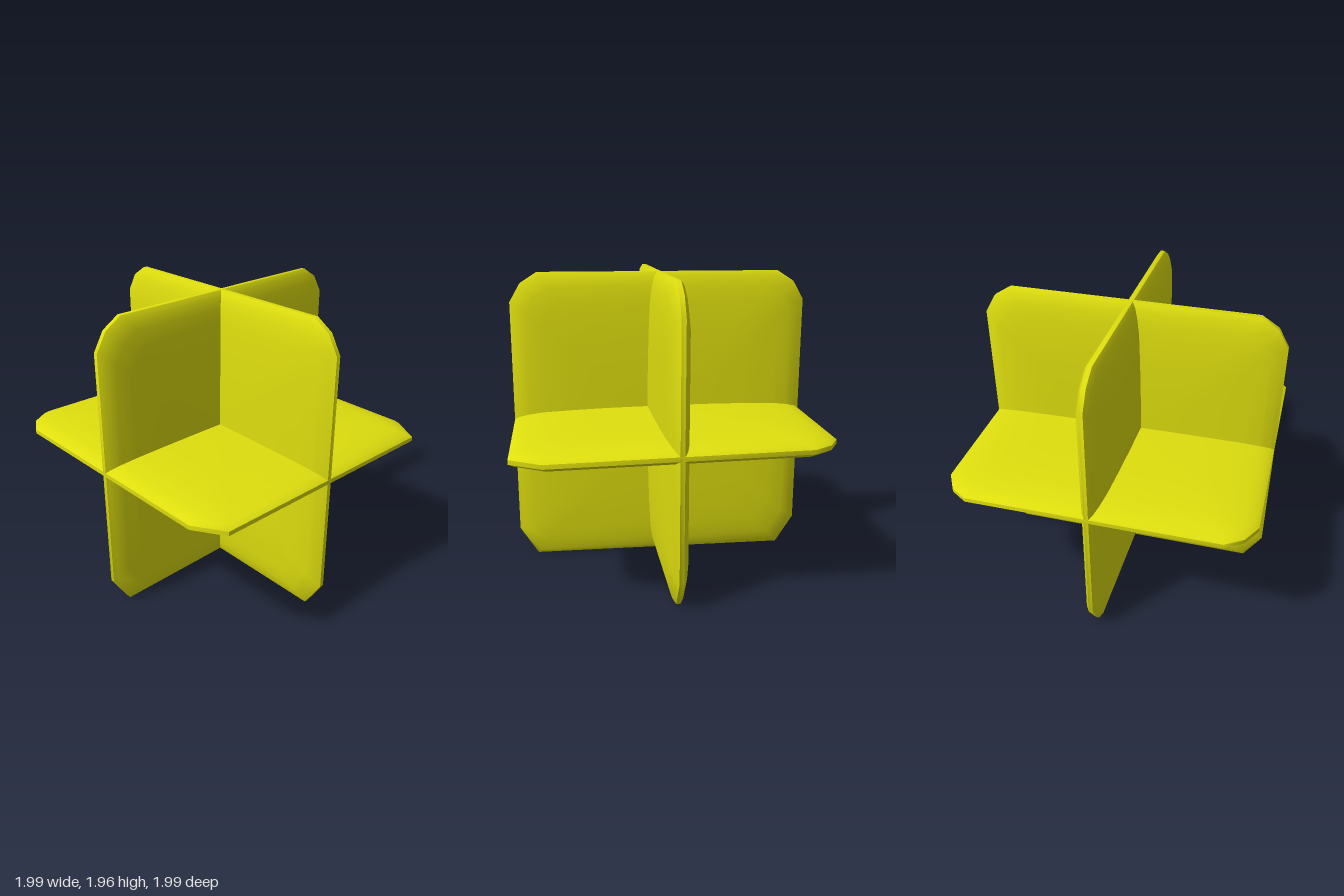
import * as THREE from 'three';
import { toCreasedNormals } from 'three/addons/utils/BufferGeometryUtils.js';

// Plate outline, counter-clockwise: rounded top corners, chamfered bottom corners
const HALF_OUTLINE = [[0.86, -0.98], [0.98, -0.79], [0.98, 0.79], [0.91, 0.91], [0.8, 0.98]];
const OUTLINE = [...HALF_OUTLINE, ...HALF_OUTLINE.map(([x, y]) => [-x, y]).reverse()];

// Outline scale and half thickness, from the rim to the thick middle
const PROFILE = [[1, 0.014], [0.97, 0.036], [0.9, 0.055], [0.8, 0.07], [0.6, 0.08], [0.35, 0.087], [0.12, 0.089]];

// Lens-shaped plate in the XY plane, thin at the rim
function plateGeometry() {
  const n = OUTLINE.length;
  const rings = [
    ...[...PROFILE].reverse().map(([s, h]) => [s, -h]),
    ...PROFILE,
  ];
  const positions = [];
  const index = [];
  for (const [s, z] of rings) {
    for (const [x, y] of OUTLINE) positions.push(x * s, y * s, z);
  }
  for (let r = 0; r < rings.length - 1; r++) {
    for (let i = 0; i < n; i++) {
      const a = r * n + i;
      const b = r * n + (i + 1) % n;
      index.push(a, b, b + n, a, b + n, a + n);
    }
  }
  // Close the flat middle on both sides
  const last = (rings.length - 1) * n;
  for (let i = 1; i < n - 1; i++) {
    index.push(0, i + 1, i);
    index.push(last, last + i, last + i + 1);
  }
  const geometry = new THREE.BufferGeometry();
  geometry.setAttribute('position', new THREE.Float32BufferAttribute(positions, 3));
  geometry.setIndex(index);
  return toCreasedNormals(geometry, 0.6);
}

export function createModel() {
  const group = new THREE.Group();
  group.name = 'crossedPlates';
  const material = new THREE.MeshStandardMaterial({ color: 0xdede0e });
  const geometry = plateGeometry();

  // Three interlocking plates, each very slightly out of true
  const plates = [
    ['crosswisePlate', [0, 0, 0], [0, 0.025, 0]],
    ['lengthwisePlate', [0, Math.PI / 2, 0], [0, 0, -0.004]],
    ['horizontalPlate', [-Math.PI / 2, 0, 0], [0.014, 0.018, -0.01]],
  ];
  for (const [name, turn, tilt] of plates) {
    const mesh = new THREE.Mesh(geometry, material);
    mesh.name = name;
    mesh.quaternion
      .setFromEuler(new THREE.Euler(...tilt))
      .multiply(new THREE.Quaternion().setFromEuler(new THREE.Euler(...turn)));
    mesh.position.y = 0.986;
    group.add(mesh);
  }
  return group;
}
